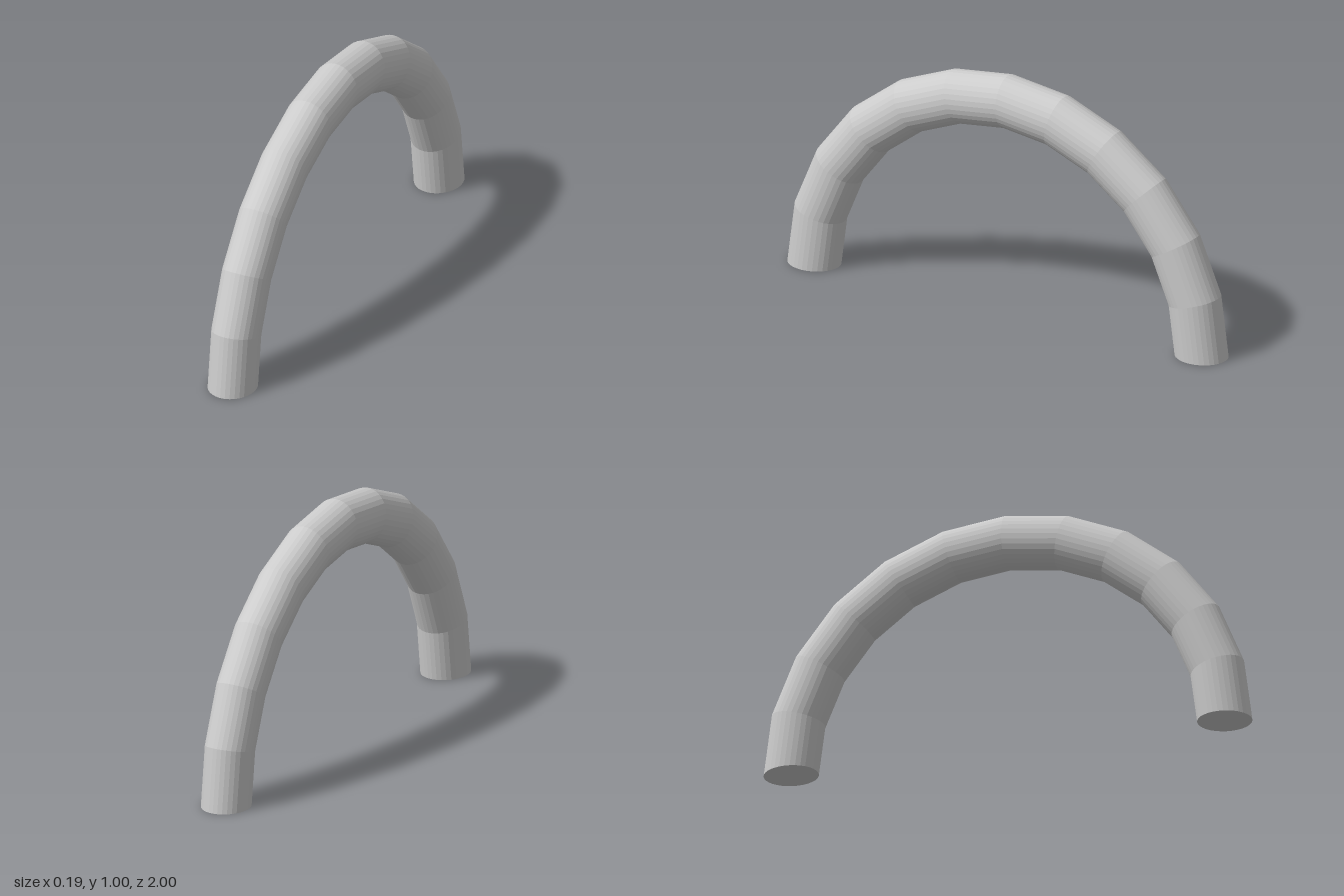
import * as THREE from 'three';

const RING = 0.89;        // centre line radius
const DEPTH = 0.11;       // tube half-thickness along the arch plane
const HALF_WIDTH = 0.097; // tube half-thickness across the arch
const SIDES = 32;
const SEGMENTS = 12;

export function createModel() {
  const group = new THREE.Group();
  group.name = 'arch';
  const material = new THREE.MeshStandardMaterial({ color: 0xcccccc, flatShading: true });

  // Half ring with a slightly oval section, standing in the yz plane
  const tube = new THREE.TorusGeometry(RING, DEPTH, SIDES, SEGMENTS, Math.PI);
  tube.scale(1, 1, HALF_WIDTH / DEPTH);
  tube.rotateY(Math.PI / 2);
  const archTube = new THREE.Mesh(tube, material);
  archTube.name = 'archTube';
  group.add(archTube);

  // Flat oval end caps facing the ground
  for (const side of [1, -1]) {
    const cap = new THREE.CircleGeometry(1, SIDES);
    cap.rotateX(Math.PI / 2);
    cap.scale(HALF_WIDTH, 1, DEPTH);
    const mesh = new THREE.Mesh(cap, material);
    mesh.name = side > 0 ? 'frontEndCap' : 'backEndCap';
    mesh.position.z = side * RING;
    group.add(mesh);
  }
  return group;
}
